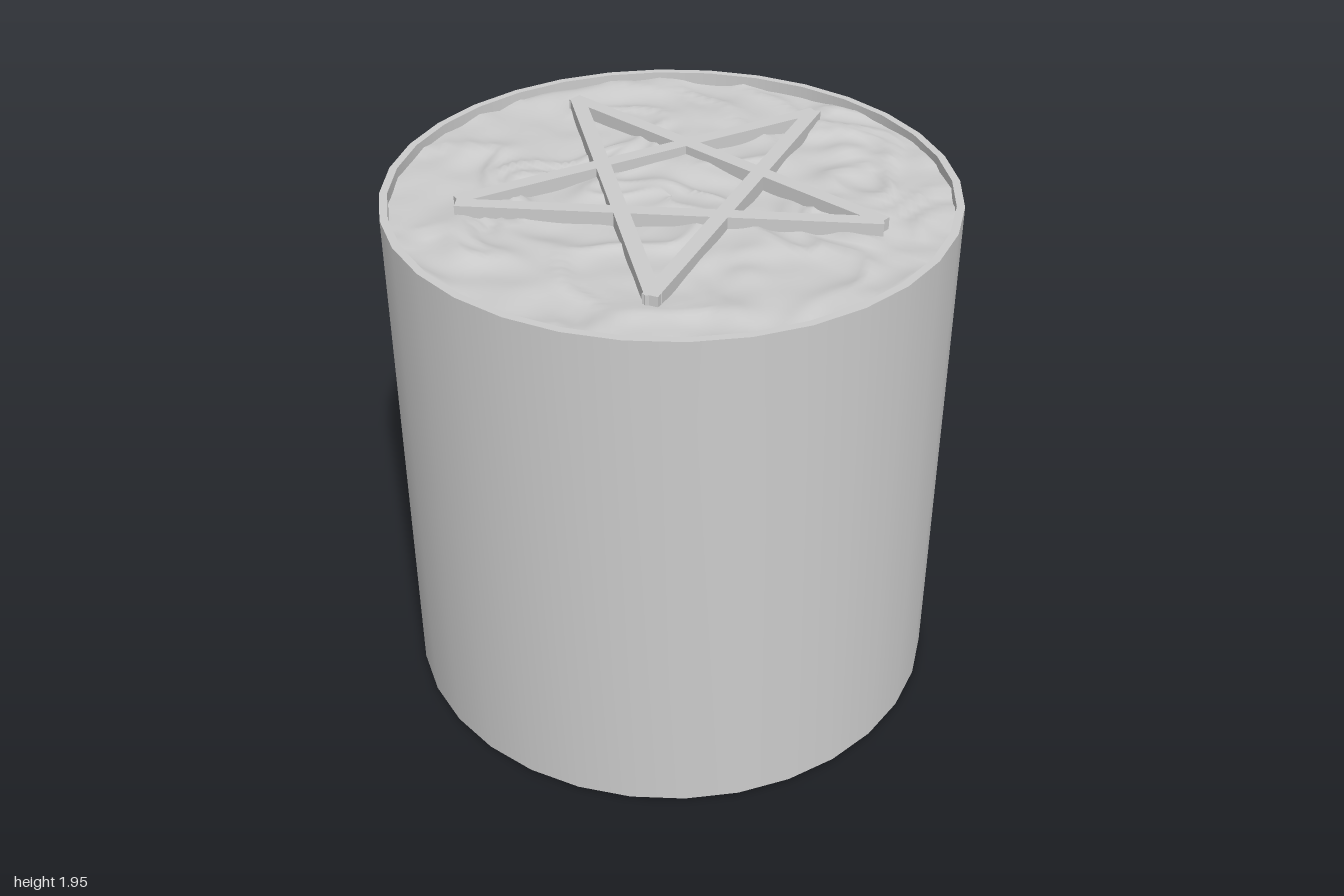
import * as THREE from 'three';
import { mergeVertices, toCreasedNormals } from 'three/addons/utils/BufferGeometryUtils.js';

const TOP = 1.94, OUTER = 1, INNER = 0.972, GROUND = 1.905;

// Smooth lattice noise in 0..1
function hash(i, j) {
  const s = Math.sin(i * 127.1 + j * 311.7) * 43758.5453;
  return s - Math.floor(s);
}
function noise(x, z) {
  const i = Math.floor(x), j = Math.floor(z);
  const u = THREE.MathUtils.smoothstep(x - i, 0, 1), v = THREE.MathUtils.smoothstep(z - j, 0, 1);
  const { lerp } = THREE.MathUtils;
  return lerp(lerp(hash(i, j), hash(i + 1, j), u), lerp(hash(i, j + 1), hash(i + 1, j + 1), u), v);
}

// Gentle bumps plus thin ridges bent by the noise itself
function groundHeight(x, z) {
  const warp = noise(x * 4 + 9, z * 4 + 5);
  const ridge = 1 - Math.abs(2 * noise(x * 5 + warp * 2, z * 6 - warp * 2) - 1);
  return GROUND + 0.014 * (noise(x * 9, z * 9) - 0.5) + 0.022 * (ridge * ridge - 0.5);
}

export function createModel() {
  const model = new THREE.Group();
  model.name = 'pedestal';
  const material = new THREE.MeshStandardMaterial({ color: 0xcccccc });
  const doubleSided = new THREE.MeshStandardMaterial({ color: 0xcccccc, side: THREE.DoubleSide });
  const add = (geometry, name, parent = model, mat = material) => {
    const mesh = new THREE.Mesh(geometry, mat);
    mesh.name = name;
    parent.add(mesh);
    return mesh;
  };

  // Hollow drum, open underneath
  const profile = [[OUTER, 0], [OUTER, TOP], [INNER, TOP], [INNER, 0], [OUTER, 0]]
    .map(([r, y]) => new THREE.Vector2(r, y));
  add(toCreasedNormals(new THREE.LatheGeometry(profile, 32), 0.5), 'drumWall');

  // Rough surface set just below the rim
  let ground = new THREE.RingGeometry(0.002, 0.98, 128, 56).rotateX(-Math.PI / 2);
  ground.deleteAttribute('uv');
  ground.deleteAttribute('normal');
  const p = ground.attributes.position;
  for (let i = 0; i < p.count; i++) p.setY(i, groundHeight(p.getX(i), p.getZ(i)));
  ground = mergeVertices(ground);
  ground.computeVertexNormals();
  add(ground, 'roughTop', model, doubleSided);

  // Five crossing bars forming a raised star
  const star = new THREE.Group();
  star.name = 'star';
  model.add(star);
  const bars = [
    [-0.76, -0.292, 0.69, -0.292],
    [-0.02, -0.81, 0.445, 0.59],
    [-0.015, -0.81, -0.475, 0.56],
    [-0.74, -0.29, 0.45, 0.58],
    [0.69, -0.29, -0.46, 0.58],
  ];
  const bottom = 1.88, top = 1.945;
  bars.forEach(([x0, z0, x1, z1], i) => {
    const length = Math.hypot(x1 - x0, z1 - z0);
    const bar = add(new THREE.BoxGeometry(length, top - bottom, 0.055), `starBar${i + 1}`, star);
    bar.position.set((x0 + x1) / 2, (top + bottom) / 2, (z0 + z1) / 2);
    bar.rotation.y = -Math.atan2(z1 - z0, x1 - x0);
  });

  return model;
}
